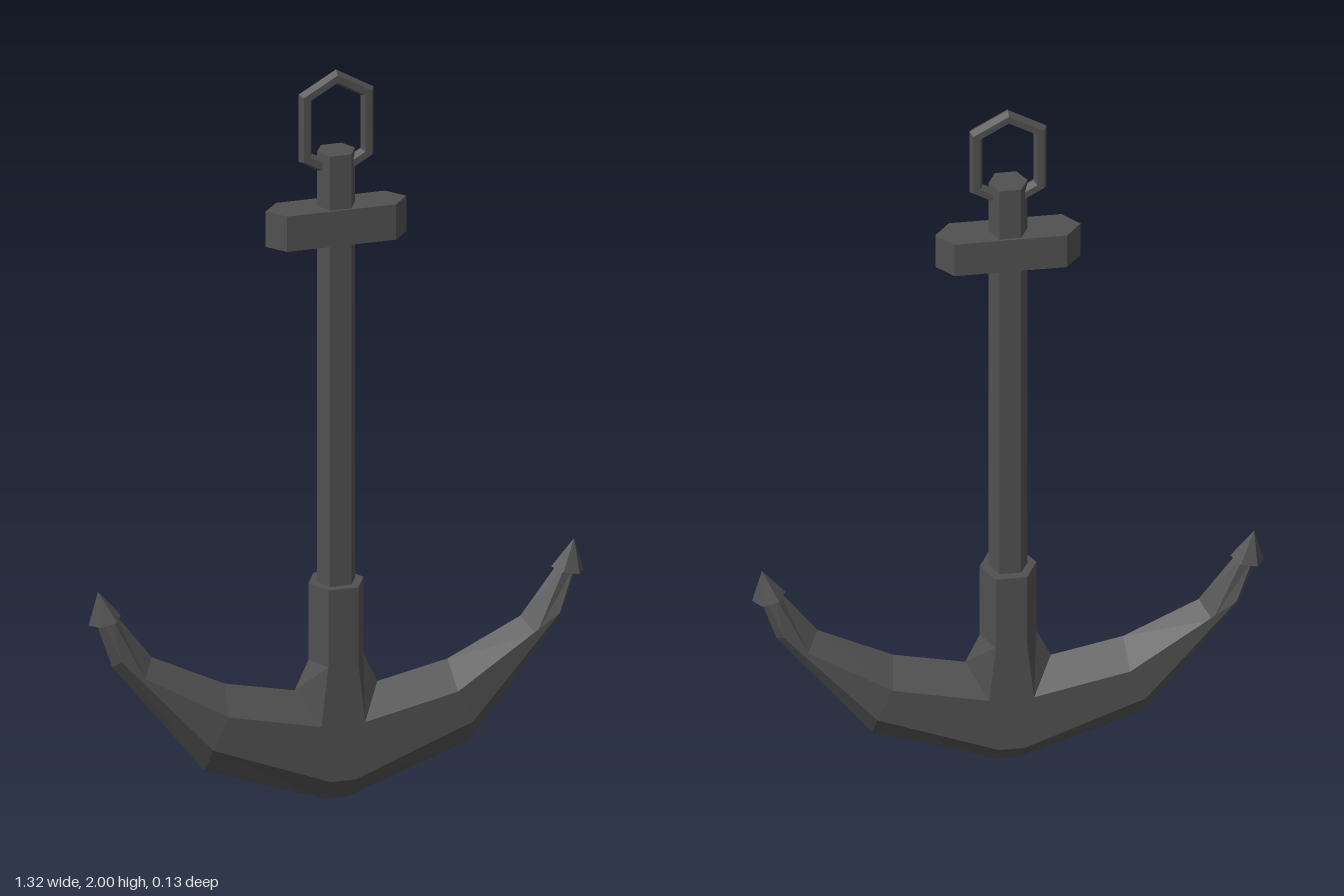
import * as THREE from 'three';

const iron = new THREE.MeshStandardMaterial({ color: 0x505050 });
iron.name = 'darkIron';

function addMesh(group, geometry, name) {
  const flat = geometry.index ? geometry.toNonIndexed() : geometry;
  flat.computeVertexNormals(); // unshared vertices give flat facets
  const mesh = new THREE.Mesh(flat, iron);
  mesh.name = name;
  group.add(mesh);
  return mesh;
}

// Skin a list of equal-length rings, running counterclockwise about the travel direction
function loft(rings) {
  const pos = [];
  const tri = (a, b, c) => pos.push(...a, ...b, ...c);
  const n = rings[0].length;
  for (let k = 0; k < rings.length - 1; k++) {
    const a = rings[k], b = rings[k + 1];
    for (let i = 0; i < n; i++) {
      const j = (i + 1) % n;
      tri(a[i], a[j], b[j]);
      tri(a[i], b[j], b[i]);
    }
  }
  const first = rings[0], last = rings[rings.length - 1];
  for (let i = 1; i < n - 1; i++) {
    tri(first[0], first[i + 1], first[i]);
    tri(last[0], last[i], last[i + 1]);
  }
  const g = new THREE.BufferGeometry();
  g.setAttribute('position', new THREE.Float32BufferAttribute(pos, 3));
  return g;
}

// Horizontal six-cornered ring: points at +-xPoint, flat faces at +-z
function hexRing(xPoint, yPoint, xFlat, yFlat, z) {
  return [
    [-xFlat, yFlat, z], [xFlat, yFlat, z], [xPoint, yPoint, 0],
    [xFlat, yFlat, -z], [-xFlat, yFlat, -z], [-xPoint, yPoint, 0],
  ];
}

// Arm section: top ridge, upper edge, lower edge and bottom ridge as [x, y]
function armRing(side, [top, upper, lower, bottom, z]) {
  return [
    [side * top[0], top[1], 0],
    [side * upper[0], upper[1], z],
    [side * lower[0], lower[1], z],
    [side * bottom[0], bottom[1], 0],
    [side * lower[0], lower[1], -z],
    [side * upper[0], upper[1], -z],
  ];
}

export function createModel() {
  const model = new THREE.Group();
  model.name = 'anchor';

  // Curved arms, from the left tip through the crown to the right tip
  const sections = [
    [[0.11, 0.31], [0.058, 0.228], [0.033, 0.074], [0.033, 0.004], 0.065],
    [[0.296, 0.35], [0.305, 0.283], [0.345, 0.196], [0.35, 0.117], 0.065],
    [[0.49, 0.445], [0.52, 0.405], [0.582, 0.458], [0.595, 0.43], 0.043],
    [[0.59, 0.578], [0.603, 0.575], [0.628, 0.572], [0.642, 0.568], 0.02],
  ];
  addMesh(model, loft([
    ...[...sections].reverse().map((s) => armRing(-1, s)),
    ...sections.map((s) => armRing(1, s)),
  ]), 'arms');

  // Collar flaring into the arms
  addMesh(model, loft([
    hexRing(0.11, 0.31, 0.058, 0.228, 0.065),
    hexRing(0.073, 0.39, 0.04, 0.39, 0.065),
    hexRing(0.073, 0.6, 0.04, 0.6, 0.065),
  ]), 'collar');

  // Shank
  addMesh(model, loft([
    hexRing(0.05, 0.55, 0.028, 0.55, 0.042),
    hexRing(0.05, 1.78, 0.028, 1.78, 0.042),
  ]), 'shank');

  // Short crossbar near the top
  addMesh(model, loft([
    hexRing(0.187, 1.535, 0.145, 1.535, 0.049),
    hexRing(0.187, 1.632, 0.145, 1.632, 0.049),
  ]), 'stock');

  // Pointed barbs at the arm tips
  for (const side of [-1, 1]) {
    const cone = new THREE.ConeGeometry(0.044, 0.082, 6, 1, false, Math.PI / 2);
    cone.translate(0, 0.041, 0);
    const barb = addMesh(model, cone, side > 0 ? 'leftBarb' : 'rightBarb');
    barb.position.set(side * 0.615, 0.561, 0);
    barb.rotation.z = -side * 0.22;
  }

  // Six-sided shackle, stretched upright
  const ring = new THREE.TorusGeometry(0.095, 0.02, 6, 6);
  ring.rotateZ(Math.PI / 6);
  const p = ring.attributes.position;
  for (let i = 0; i < p.count; i++) p.setY(i, p.getY(i) + Math.sign(p.getY(i)) * 0.035);
  ring.translate(0, 1.85, 0);
  addMesh(model, ring, 'shackle');

  return model;
}
